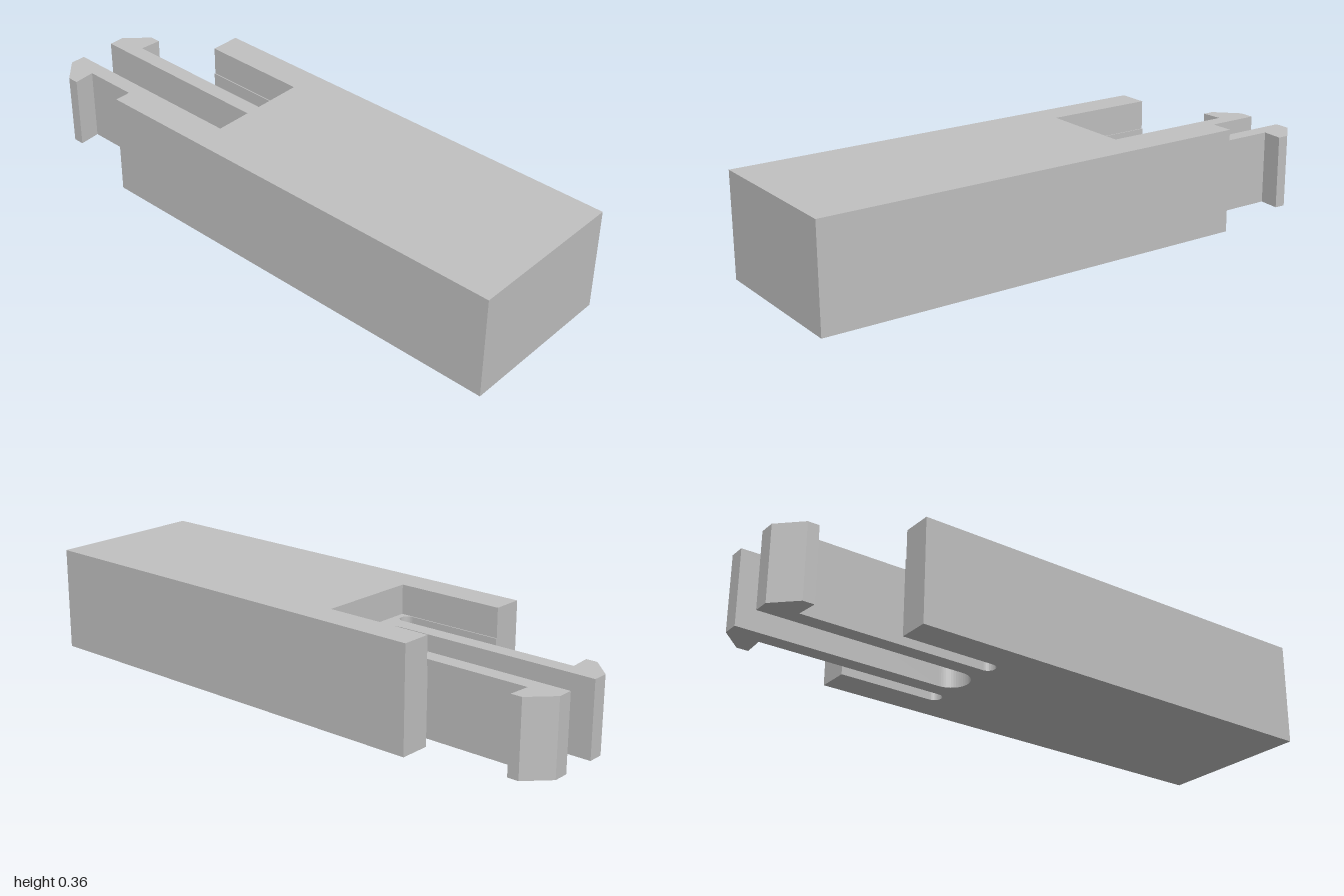
import * as THREE from 'three';

const HALF_WIDTH = 0.286, HEIGHT = 0.364, CLIP_HEIGHT = 0.262;
const FRONT = 1, WALL_END = -0.563, POCKET_END = -0.177, POCKET_X = 0.18;

// Points along an arc in the x-z plane
function arc(cx, cz, r, from, to, steps) {
  return Array.from({ length: steps + 1 }, (_, i) => {
    const a = from + (to - from) * i / steps;
    return [cx + r * Math.cos(a), cz + r * Math.sin(a)];
  });
}

// Mirrors half an outline (x >= 0, given in x-z) and extrudes it up from the floor
function mirroredPrism(half, height, material, name) {
  const other = half.map(([x, z]) => [-x, z]).reverse();
  const shape = new THREE.Shape([...half, ...other].map(([x, z]) => new THREE.Vector2(x, z)));
  const geometry = new THREE.ExtrudeGeometry(shape, { depth: height, bevelEnabled: false });
  geometry.rotateX(Math.PI / 2).translate(0, height, 0);
  const mesh = new THREE.Mesh(geometry, material);
  mesh.name = name;
  return mesh;
}

export function createModel() {
  const group = new THREE.Group();
  group.name = 'clipBlock';
  const grey = new THREE.MeshStandardMaterial({ color: 0xc0c0c0 });
  grey.name = 'grey';

  // Long block with a pocket between two side walls at the back
  group.add(mirroredPrism([
    [POCKET_X, POCKET_END], [POCKET_X, WALL_END],
    [HALF_WIDTH, WALL_END], [HALF_WIDTH, FRONT],
  ], HEIGHT, grey, 'body'));

  // Two hooked arms, parted by round-ended slots, on a low web in the pocket
  const armIn = 0.066, armOut = 0.122, slotOut = 0.176, slotEnd = -0.198;
  const slotR = (slotOut - armOut) / 2;
  group.add(mirroredPrism([
    ...arc(0, slotEnd - armIn, armIn, Math.PI / 2 - 0.06, 0, 12),
    [armIn, -1], [armOut, -1],
    [0.2, -0.923], [0.2, -0.883], [armOut, -0.889],
    ...arc(armOut + slotR, slotEnd - slotR, slotR, Math.PI, 0, 16),
    [slotOut, WALL_END], [POCKET_X, WALL_END], [POCKET_X, POCKET_END],
  ], CLIP_HEIGHT, grey, 'snapClip'));

  return group;
}
